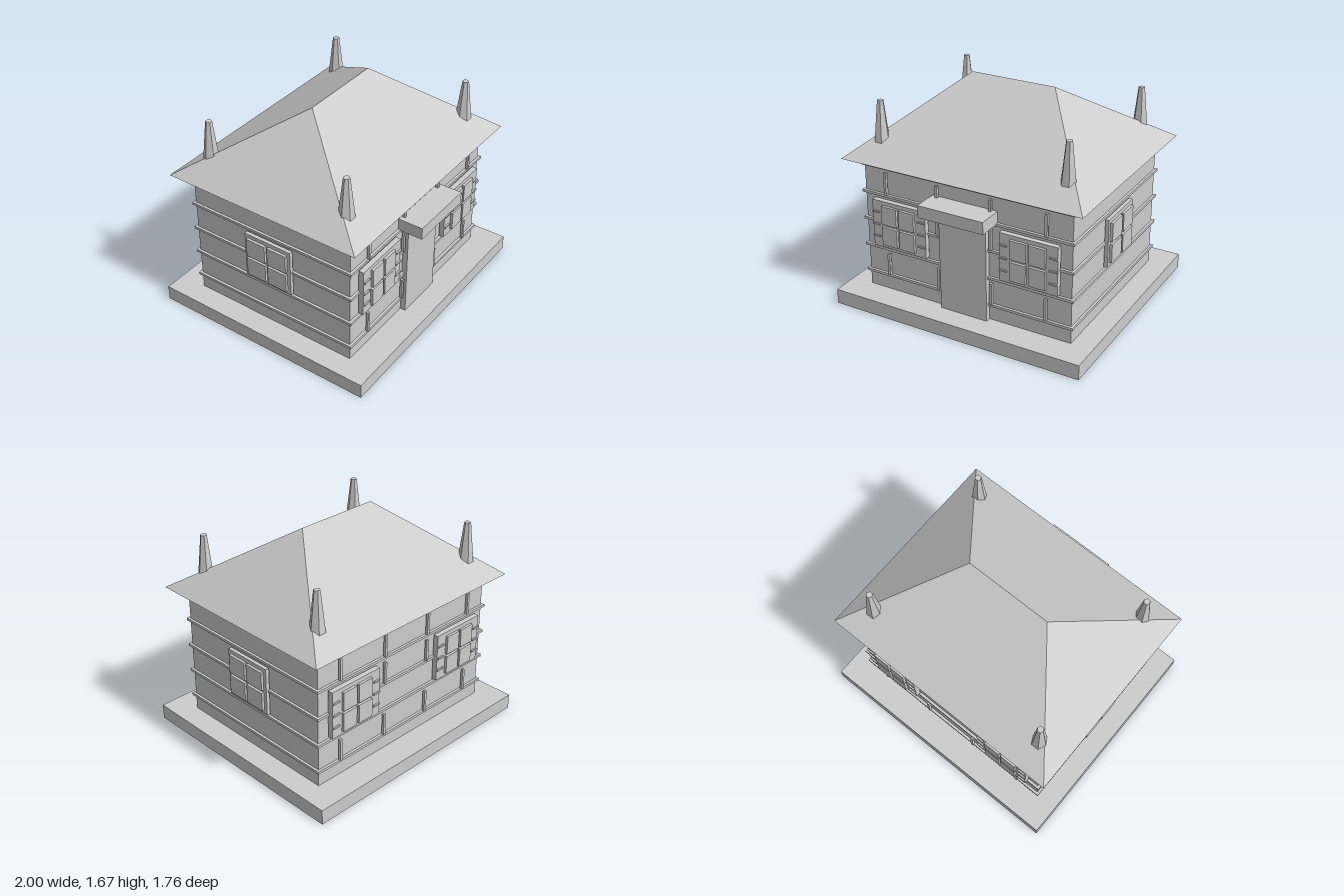
import * as THREE from 'three';

export function createModel() {
  const model = new THREE.Group();
  model.name = 'house';
  const stone = new THREE.MeshStandardMaterial({ name: 'plain grey', color: 0xcccccc, flatShading: true });

  const add = (parent, name, geometry) => {
    const mesh = new THREE.Mesh(geometry, stone);
    mesh.name = name;
    parent.add(mesh);
    return mesh;
  };

  // Box given by its lower and upper limits on each axis
  const box = (parent, name, [x0, x1], [y0, y1], [z0, z1]) => {
    const mesh = add(parent, name, new THREE.BoxGeometry(x1 - x0, y1 - y0, z1 - z0));
    mesh.position.set((x0 + x1) / 2, (y0 + y1) / 2, (z0 + z1) / 2);
    return mesh;
  };

  box(model, 'foundation', [-1, 1], [0, 0.115], [-0.88, 0.88]);
  box(model, 'walls', [-0.833, 0.833], [0.115, 1.127], [-0.67, 0.67]);

  // Horizontal mortar bands around the walls
  for (let i = 0; i < 5; i++) {
    const y = 0.24 + i * 0.215;
    box(model, 'wallBand', [-0.852, 0.852], [y - 0.01, y + 0.01], [-0.69, 0.69]);
  }

  // Upright joints on the front and back
  for (const y of [0.25, 0.68, 0.896]) {
    for (const x of [-0.645, -0.215, 0.215, 0.645]) {
      for (const z of [-0.69, 0.69]) {
        box(model, 'wallJoint', [x - 0.01, x + 0.01], [y, y + 0.17], [z - 0.01, z + 0.01]);
      }
    }
  }

  // Window facing +z: back panel, four raised panes, optional shutter slats
  const makeWindow = (halfPanel, halfPanes, shutters, depth) => {
    const win = new THREE.Group();
    win.name = 'window';
    box(win, 'windowPanel', [-halfPanel, halfPanel], [0.485, 0.854], [0, depth]);
    for (const y of [[0.513, 0.658], [0.678, 0.823]]) {
      box(win, 'windowPane', [-halfPanes, -0.01], y, [depth, depth + 0.02]);
      box(win, 'windowPane', [0.01, halfPanes], y, [depth, depth + 0.02]);
    }
    if (shutters) {
      for (const y of [0.572, 0.668, 0.765]) {
        for (const x of [-0.192, 0.192]) {
          box(win, 'shutterSlat', [x - 0.03, x + 0.03], [y - 0.006, y + 0.006], [depth, depth + 0.012]);
        }
      }
    }
    model.add(win);
    return win;
  };

  for (const side of [1, -1]) {
    for (const x of [-0.524, 0.524]) {
      const win = makeWindow(0.224, 0.137, true, 0.04);
      win.position.set(x, 0, side * 0.679);
      win.rotation.y = side > 0 ? 0 : Math.PI;
    }
    const sideWindow = makeWindow(0.197, 0.17, false, 0.028);
    sideWindow.position.x = side * 0.842;
    sideWindow.rotation.y = side * Math.PI / 2;
  }

  // Entrance
  box(model, 'door', [-0.19, 0.19], [0.115, 0.84], [0.66, 0.712]);
  box(model, 'doorCanopy', [-0.26, 0.26], [0.887, 0.98], [0.67, 0.862]);

  // Hipped roof: a box whose top is drawn in to the ridge
  const roof = new THREE.BoxGeometry(1.9, 0.52, 1.57);
  const p = roof.attributes.position;
  for (let i = 0; i < p.count; i++) {
    if (p.getY(i) > 0) {
      p.setX(i, Math.sign(p.getX(i)) * 0.333);
      p.setZ(i, 0);
    }
  }
  roof.computeVertexNormals();
  add(model, 'roof', roof).position.y = 1.147 + 0.26;

  // Hexagonal pinnacles near the roof corners
  for (const x of [-0.74, 0.74]) {
    for (const z of [-0.573, 0.573]) {
      const pinnacle = add(model, 'pinnacle', new THREE.CylinderGeometry(0.024, 0.059, 0.31, 6));
      pinnacle.position.set(x, 1.405, z);
      pinnacle.rotation.y = Math.PI / 6;
    }
  }

  return model;
}
